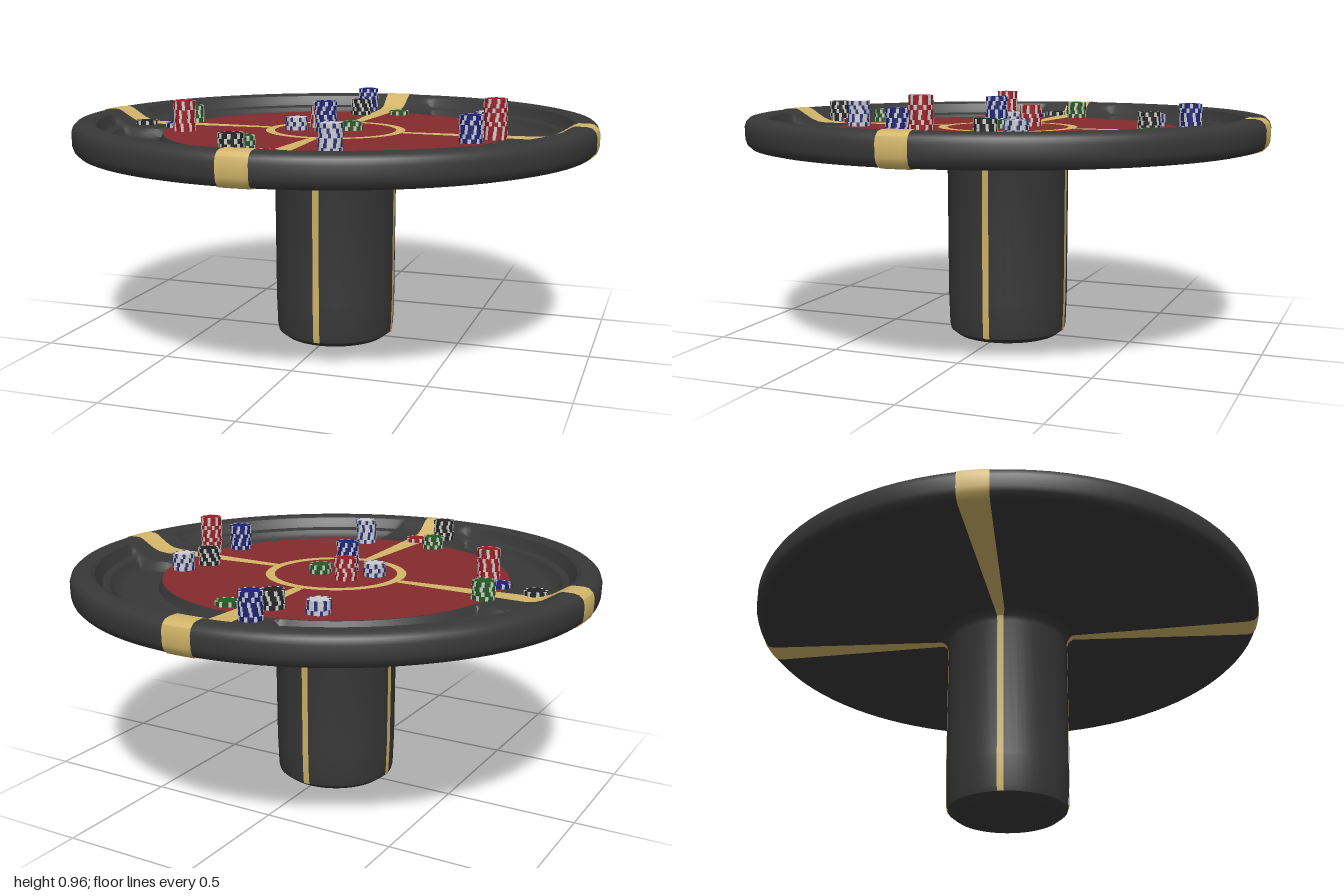
import * as THREE from 'three';
import { mergeGeometries, toCreasedNormals } from 'three/addons/utils/BufferGeometryUtils.js';

const mat = (color) => new THREE.MeshStandardMaterial({ color, side: THREE.DoubleSide });
const dark = mat(0x383838), gold = mat(0xd2b568), red = mat(0x852a2d);
const FELT_Y = 0.81;

// Profiles as [radius, height]
const columnProfile = [[0.2, 0], [0.226, 0.02], [0.23, 0.04], [0.234, 0.16], [0.236, 0.71], [0.242, 0.73], [0.262, 0.748]];
const rimProfile = [[0.955, 0.748], [0.976, 0.753], [0.99, 0.767], [0.996, 0.785], [0.997, 0.83],
  [0.991, 0.849], [0.978, 0.861], [0.96, 0.865], [0.92, 0.865]];
const spokeProfile = [[0.92, 0.865], [0.905, 0.859], [0.88, 0.843], [0.85, 0.825], [0.82, 0.814], [0.78, FELT_Y], [0.27, FELT_Y]];
const pocketProfile = [[0.92, 0.865], [0.905, 0.857], [0.893, 0.835], [0.88, 0.818], [0.855, 0.81], [0.835, 0.788], [0.815, 0.776],
  [0.69, 0.774], [0.675, 0.78], [0.662, FELT_Y], [0.27, FELT_Y]];

function sample(profile, r) {
  for (let i = 1; i < profile.length; i++) {
    const [r0, y0] = profile[i - 1], [r1, y1] = profile[i];
    if (r >= r1) return y0 + (y1 - y0) * (r - r0) / (r1 - r0);
  }
  return FELT_Y;
}

function surface(rows, cols, point) {
  const pos = [], index = [];
  for (let i = 0; i < rows; i++) for (let j = 0; j < cols; j++) pos.push(...point(i, j));
  for (let i = 0; i < rows - 1; i++) for (let j = 0; j < cols - 1; j++) {
    const a = i * cols + j, b = a + cols;
    index.push(a, b, a + 1, b, b + 1, a + 1);
  }
  const g = new THREE.BufferGeometry();
  g.setAttribute('position', new THREE.Float32BufferAttribute(pos, 3));
  g.setIndex(index);
  return toCreasedNormals(g, 0.5);
}

// Table top: spokes stay high, four pockets sink between them
function topHeight(r, x, z) {
  const d = Math.min(Math.abs(x), Math.abs(z));
  const edge = 0.165 - 0.035 * Math.min(1, ((r - 0.77) / 0.1) ** 2);
  const t = THREE.MathUtils.smoothstep(d, edge, edge + 0.045);
  return THREE.MathUtils.lerp(sample(spokeProfile, r), sample(pocketProfile, r), t);
}

function topGeometry() {
  const radii = [0.92, 0.912, 0.905, 0.893, 0.88, 0.867, 0.855, 0.845, 0.835, 0.825, 0.815, 0.8, 0.78,
    0.76, 0.74, 0.72, 0.705, 0.69, 0.675, 0.662, 0.64];
  return surface(radii.length, 361, (i, j) => {
    const a = j * Math.PI / 180, r = radii[i];
    const x = r * Math.cos(a), z = r * Math.sin(a);
    return [x, topHeight(r, x, z), z];
  });
}

function lathe(profile, segments = 96) {
  return toCreasedNormals(new THREE.LatheGeometry(profile.map(p => new THREE.Vector2(...p)), segments), 0.6);
}

// Gold band running up the column, under the top, round the rim and inward
function bandGeometry(angle) {
  const path = [...columnProfile.slice(1), ...rimProfile, ...spokeProfile.slice(1)];
  const lift = 0.003, cols = 7;
  return surface(path.length, cols, (i, j) => {
    const [r0, y0] = path[Math.max(0, i - 1)], [r1, y1] = path[Math.min(path.length - 1, i + 1)];
    const len = Math.hypot(r1 - r0, y1 - y0);
    const r = path[i][0] + lift * (y1 - y0) / len, y = path[i][1] - lift * (r1 - r0) / len;
    const half = i < 5 ? 0.0125 : 0.018 + 0.038 * (path[i][0] - 0.26) / 0.74;
    const a = angle + (j / (cols - 1) * 2 - 1) * half / r;
    return [r * Math.cos(a), y, r * Math.sin(a)];
  });
}

// Chip stacks: x, z, colour, number of chips
const R = 0x9c1c24, B = 0x1c2278, G = 0x245a20, K = 0x242424, W = 0xc4c4c4;
const stacks = [
  [-0.54, 0.21, R, 7], [0.635, 0.07, R, 9], [-0.64, -0.075, G, 4], [-0.625, 0.11, B, 1], [-0.78, 0.065, K, 1],
  [0.57, 0.19, B, 6], [0.515, -0.115, K, 4], [0.545, -0.24, W, 4], [0.17, 0.56, W, 6], [-0.01, 0.685, R, 1],
  [-0.09, 0.79, K, 5], [-0.13, 0.6, G, 3], [-0.08, -0.7, B, 6], [0.095, -0.59, G, 1], [-0.065, -0.545, K, 4],
  [-0.235, -0.525, W, 3], [-0.08, -0.065, R, 5], [-0.02, 0.055, B, 7], [0.06, -0.02, G, 2], [-0.145, 0.04, W, 3],
];
const chipMats = new Map([R, B, G, K, W].map(c => [c, mat(c)]));
const whiteSpot = mat(0xd0d0d0), blueSpot = mat(0x2a3080);

let seed = 7;
const rand = () => (seed = (seed * 16807) % 2147483647) / 2147483647;

function chipStack([x, z, color, count]) {
  const radius = 0.042, thick = 0.0165, chips = [], spots = [];
  for (let k = 0; k < count; k++) {
    const dx = (rand() - 0.5) * 0.004, dz = (rand() - 0.5) * 0.004, turn = rand() * 6.28, y = (k + 0.5) * thick;
    chips.push(new THREE.CylinderGeometry(radius, radius, thick * 0.94, 24).translate(dx, y, dz));
    for (let s = 0; s < 8; s++) {
      spots.push(new THREE.BoxGeometry(0.009, thick * 0.97, 0.011)
        .translate(radius - 0.004, 0, 0).rotateY(turn + s * Math.PI / 4).translate(dx, y, dz));
    }
  }
  const group = new THREE.Group();
  group.name = 'chipStack';
  add(group, 'chips', mergeGeometries(chips), chipMats.get(color));
  add(group, 'chipEdgeSpots', mergeGeometries(spots), color === W ? blueSpot : whiteSpot);
  group.position.set(x, FELT_Y + 0.003, z);
  return group;
}

function add(parent, name, geometry, material) {
  const mesh = new THREE.Mesh(geometry, material);
  mesh.name = name;
  parent.add(mesh);
  return mesh;
}

export function createModel() {
  const model = new THREE.Group();
  model.name = 'chipTable';

  add(model, 'column', lathe([[0, 0], ...columnProfile], 48), dark);
  add(model, 'rimAndUnderside', lathe([[0.2, 0.748], ...rimProfile]), dark);
  add(model, 'tableTop', topGeometry(), dark);

  // Felt, centre ring and four bands
  add(model, 'felt', new THREE.CircleGeometry(0.66, 96).rotateX(-Math.PI / 2).translate(0, FELT_Y + 0.0015, 0), red);
  add(model, 'centreRing', new THREE.RingGeometry(0.235, 0.27, 64).rotateX(-Math.PI / 2).translate(0, FELT_Y + 0.0035, 0), gold);
  for (let i = 0; i < 4; i++) add(model, 'goldBand', bandGeometry(i * Math.PI / 2), gold);

  for (const s of stacks) model.add(chipStack(s));
  return model;
}
